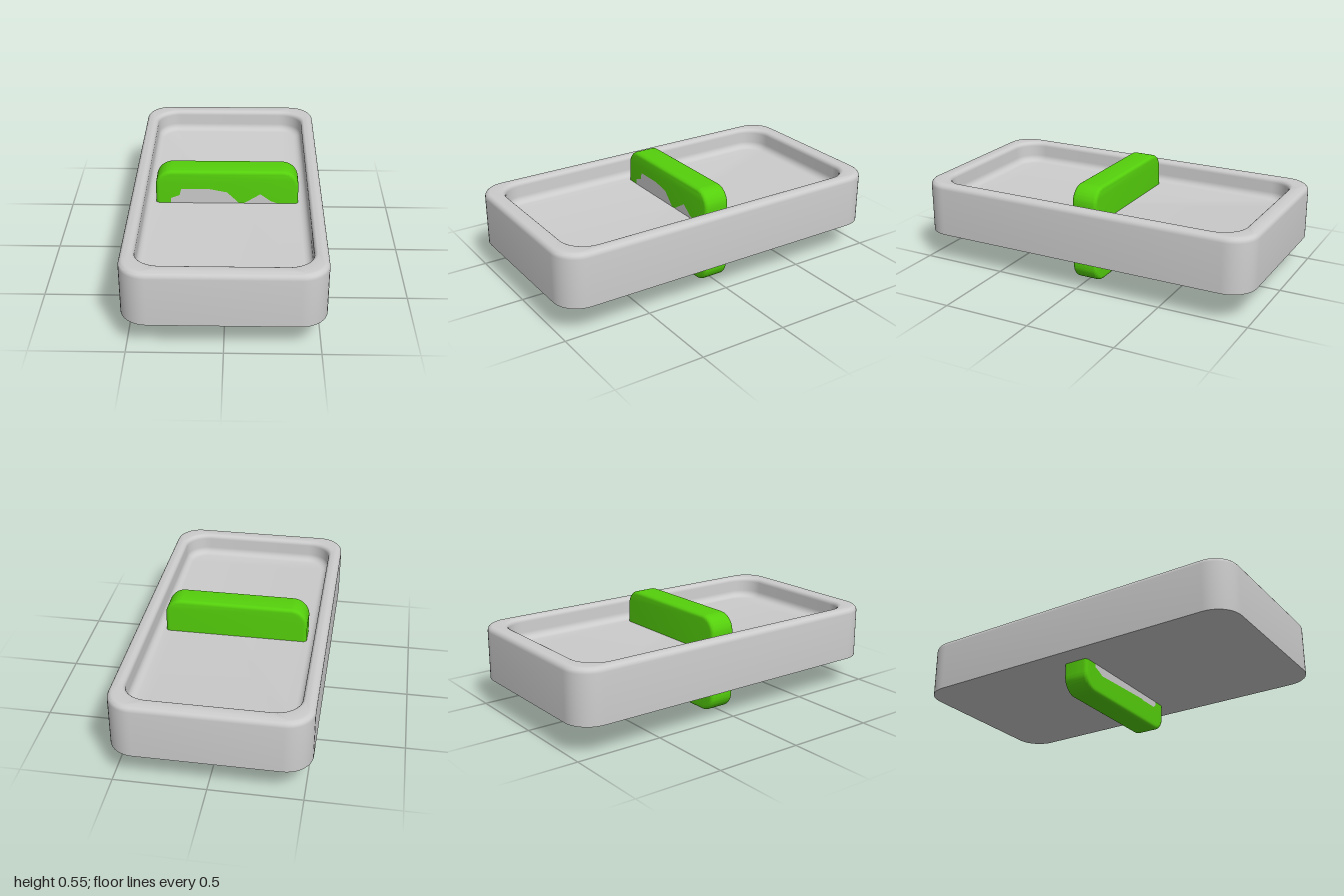
import * as THREE from 'three';
import { mergeVertices, toCreasedNormals } from 'three/addons/utils/BufferGeometryUtils.js';

const grey = new THREE.MeshStandardMaterial({ color: 0xcccccc });
const green = new THREE.MeshStandardMaterial({ color: 0x55d00c });

// Rounded rectangle of points in the xz plane, seen from above
function ring(hx, hz, r, y, steps = 10) {
  const points = [];
  const centres = [[1, 1], [-1, 1], [-1, -1], [1, -1]];
  centres.forEach(([sx, sz], corner) => {
    for (let i = 0; i <= steps; i++) {
      const a = (corner + i / steps) * Math.PI / 2;
      points.push([sx * (hx - r) + r * Math.cos(a), y, sz * (hz - r) + r * Math.sin(a)]);
    }
  });
  return points;
}

// Skins successive rings, closing the first and last with flat caps
function skin(rings) {
  const n = rings[0].length;
  const index = [];
  for (let k = 0; k < rings.length - 1; k++) {
    for (let i = 0; i < n; i++) {
      const a = k * n + i, b = k * n + (i + 1) % n;
      index.push(a, a + n, b, b, a + n, b + n);
    }
  }
  const last = (rings.length - 1) * n;
  for (let i = 1; i < n - 1; i++) {
    index.push(0, i, i + 1);
    index.push(last, last + i + 1, last + i);
  }
  const geometry = new THREE.BufferGeometry();
  geometry.setAttribute('position', new THREE.Float32BufferAttribute(rings.flat(2), 3));
  geometry.setIndex(index);
  return toCreasedNormals(geometry, 0.6);
}

function roundedRect(w, h, r) {
  const s = new THREE.Shape();
  s.absarc(w / 2 - r, h / 2 - r, r, 0, Math.PI / 2);
  s.absarc(-w / 2 + r, h / 2 - r, r, Math.PI / 2, Math.PI);
  s.absarc(-w / 2 + r, -h / 2 + r, r, Math.PI, Math.PI * 1.5);
  s.absarc(w / 2 - r, -h / 2 + r, r, Math.PI * 1.5, Math.PI * 2);
  s.closePath();
  return s;
}

// Shallow tray: outer wall, rounded rim, then inner wall and floor fillet
function createTray() {
  const bottom = 0.17, top = 0.475, floor = 0.35, edge = 0.03, fillet = 0.04;
  const outer = (d, y) => ring(0.53 - d, 1 - d, 0.145 - d, y);
  const inner = (d, y) => ring(0.455 - d, 0.905 - d, 0.135 - d, y);
  const rings = [outer(0, bottom)];
  const arc = [0, 1, 2, 3, 4, 5].map(i => i / 5 * Math.PI / 2);
  for (const a of arc) rings.push(outer(edge * (1 - Math.cos(a)), top - edge * (1 - Math.sin(a))));
  for (const a of arc) rings.push(inner(-0.025 * (1 - Math.sin(a)), top - 0.025 * (1 - Math.cos(a))));
  for (const a of arc) rings.push(inner(fillet * (1 - Math.cos(a)), floor + fillet * (1 - Math.sin(a))));
  return new THREE.Mesh(skin(rings), grey);
}

// Upright rounded slab passing through the tray
function createCrossbar() {
  const bevel = 0.02, depth = 0.15;
  let geometry = new THREE.ExtrudeGeometry(roundedRect(0.81 - 2 * bevel, 0.55 - 2 * bevel, 0.075), {
    depth: depth - 2 * bevel, bevelSize: bevel, bevelThickness: bevel, bevelSegments: 4, curveSegments: 10,
  });
  geometry.translate(0, 0.275, -depth / 2 + bevel);
  geometry.deleteAttribute('uv');
  geometry.deleteAttribute('normal');
  geometry = toCreasedNormals(mergeVertices(geometry), 0.6);
  return new THREE.Mesh(geometry, green);
}

// Irregular bare patch on the front face of the crossbar
function createPatch() {
  const outline = [
    [-0.32, 0.15], [-0.28, 0.135], [-0.25, 0.12], [0.17, 0.135], [0.17, 0.13], [0.3, 0.13], [0.32, 0.15],
    [0.32, 0.34], [0.25, 0.365], [0.19, 0.41], [0.08, 0.34], [0, 0.42], [-0.1, 0.44], [-0.26, 0.44],
    [-0.27, 0.4], [-0.32, 0.38],
  ].map(p => new THREE.Vector2(...p));
  const mesh = new THREE.Mesh(new THREE.ShapeGeometry(new THREE.Shape(outline)), grey);
  mesh.position.z = 0.076;
  return mesh;
}

export function createModel() {
  const model = new THREE.Group();
  model.name = 'trayWithCrossbar';
  const parts = { tray: createTray(), crossbar: createCrossbar(), barePatch: createPatch() };
  for (const [name, mesh] of Object.entries(parts)) {
    mesh.name = name;
    model.add(mesh);
  }
  return model;
}
